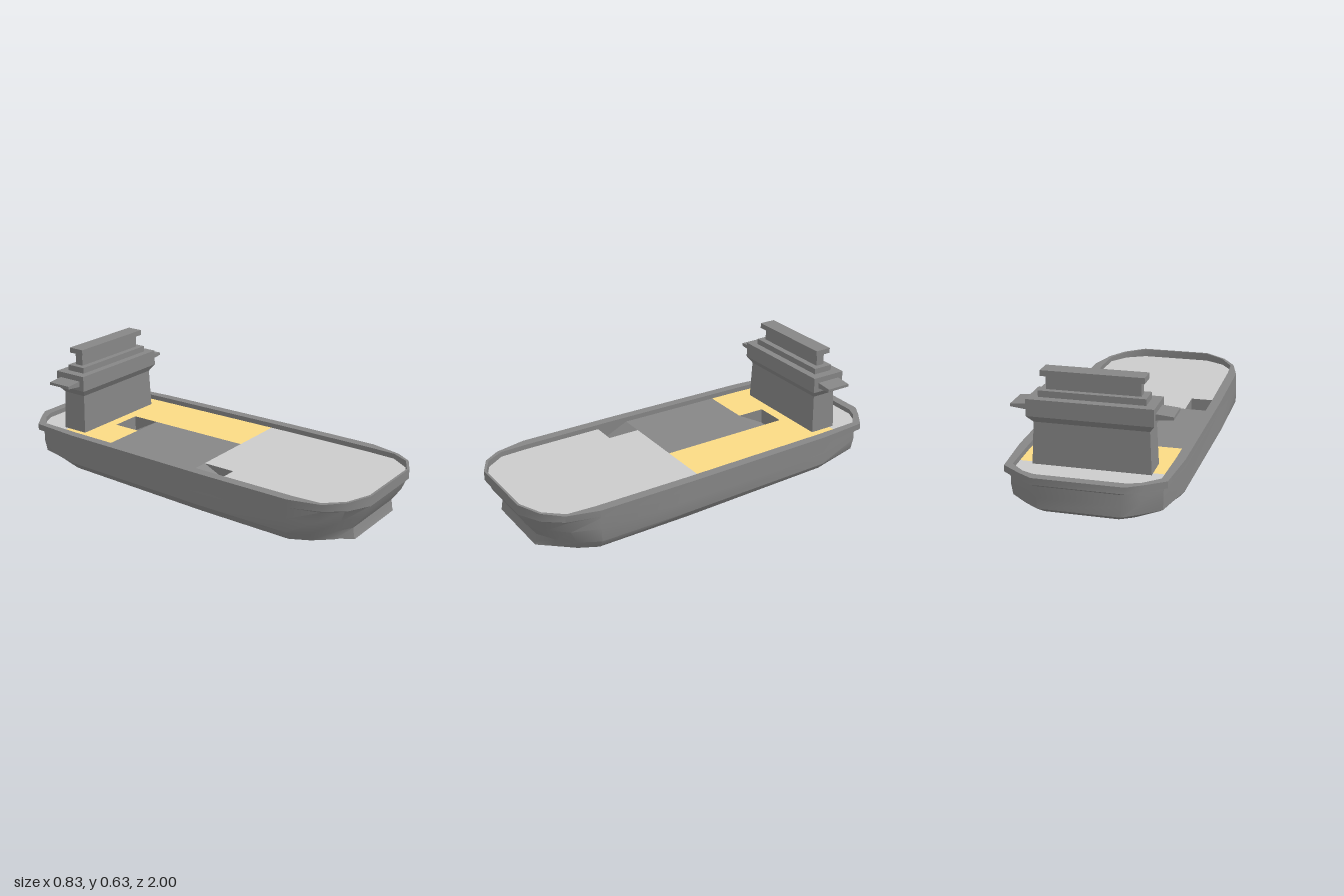
import * as THREE from 'three';
import { toCreasedNormals } from 'three/addons/utils/BufferGeometryUtils.js';

const dark = new THREE.MeshStandardMaterial({ color: 0x868686, side: THREE.DoubleSide });
const light = new THREE.MeshStandardMaterial({ color: 0xcccccc, side: THREE.DoubleSide });
const yellow = new THREE.MeshStandardMaterial({ color: 0xfada84, side: THREE.DoubleSide });

const DECK = 0.195;

// Mirror a half outline [x, y, z] (bow to stern on +x) into a full ring
const mirror = (half) => [...half, ...half.slice().reverse().map(([x, y, z]) => [-x, y, z])];

// Skin a stack of rings from bottom to top, with optional end caps
function loft(rings, capBottom, capTop, crease = 0.6) {
  const n = rings[0].length, index = [];
  for (let r = 0; r < rings.length - 1; r++) {
    for (let i = 0; i < n; i++) {
      const j = (i + 1) % n;
      const a = r * n + i, b = r * n + j, c = b + n, d = a + n;
      index.push(a, b, c, a, c, d);
    }
  }
  const cap = (base, up) => {
    for (let i = 0; i < n / 2 - 1; i++) {
      const a = base + i, b = a + 1, c = base + n - 2 - i, d = c + 1;
      index.push(...(up ? [a, b, c, a, c, d] : [a, c, b, a, d, c]));
    }
  };
  if (capBottom) cap(0, false);
  if (capTop) cap((rings.length - 1) * n, true);
  const g = new THREE.BufferGeometry();
  g.setAttribute('position', new THREE.Float32BufferAttribute(rings.flat(2), 3));
  g.setIndex(index);
  return toCreasedNormals(g, crease);
}

function add(parent, name, geometry, material) {
  const mesh = new THREE.Mesh(geometry, material);
  mesh.name = name;
  parent.add(mesh);
  return mesh;
}

// Flat deck panel from [x, z] corners
function panel(parent, name, corners, material) {
  const shape = new THREE.Shape(corners.map(([x, z]) => new THREE.Vector2(x, -z)));
  const g = new THREE.ShapeGeometry(shape);
  g.rotateX(-Math.PI / 2);
  g.translate(0, DECK, 0);
  add(parent, name, g, material);
}

// Sunken ramp: sloping floor, two triangular sides and an end wall
function ramp(parent, name, x0, x1, zTop, zLow) {
  const y = DECK - 0.08;
  const p = [[x0, DECK, zTop], [x1, DECK, zTop], [x0, y, zLow], [x1, y, zLow], [x0, DECK, zLow], [x1, DECK, zLow]];
  const g = new THREE.BufferGeometry();
  g.setAttribute('position', new THREE.Float32BufferAttribute(p.flat(), 3));
  const tris = [0, 2, 3, 0, 3, 1, 0, 4, 2, 1, 3, 5, 2, 4, 5, 2, 5, 3];
  if (zLow < zTop) tris.reverse();
  g.setIndex(tris);
  add(parent, name, toCreasedNormals(g, 0.1), dark);
}

export function createModel() {
  const ship = new THREE.Group();
  ship.name = 'cargoShip';

  // Plan outlines, bow to stern, on the +x side
  const rim = [[0.19, 0.998], [0.30, 0.94], [0.37, 0.85], [0.41, 0.69], [0.41, 0.2], [0.395, -0.63], [0.372, -0.89], [0.28, -0.957], [0.21, -1]];
  const flare = [[0.19, 0.985], [0.297, 0.925], [0.367, 0.84], ...rim.slice(3, 6), [0.35, -0.87], [0.26, -0.945], [0.19, -0.99]];
  const waist = [[0.19, 0.963], [0.29, 0.905], [0.365, 0.825], [0.413, 0.69], [0.413, 0.2], [0.395, -0.63], [0.35, -0.87], [0.26, -0.945], [0.19, -0.99]];
  const bilge = [[0.19, 0.915], [0.28, 0.865], [0.36, 0.79], [0.413, 0.69], [0.413, 0.2], [0.395, -0.63], [0.345, -0.86], [0.255, -0.94], [0.19, -0.985]];
  const chine = [[0.19, 0.922], [0.27, 0.86], [0.34, 0.78], [0.385, 0.69], [0.385, 0.2], [0.37, -0.62], [0.31, -0.82], [0.23, -0.91], [0.17, -0.945]];
  const keel = [[0.19, 0.926], [0.23, 0.86], [0.27, 0.77], [0.29, 0.69], [0.29, 0.2], [0.28, -0.6], [0.24, -0.78], [0.19, -0.86], [0.15, -0.9]];
  const inner = [[0.185, 0.987], [0.29, 0.93], [0.355, 0.835], [0.362, 0.69], [0.362, 0.2], [0.35, -0.63], [0.34, -0.865], [0.27, -0.93], [0.21, -0.955]];
  const bowRise = [0.018, 0.009, 0.001, 0, 0, 0, 0, 0, 0];
  const sternRise = [0, 0, 0, 0, 0.005, 0.02, 0.025, 0.03, 0.03];
  const level = (outline, y, rise, k = 1) =>
    mirror(outline.map(([x, z], i) => [x, y + (rise ? rise[i] * k : 0), z]));

  // Hull shell with bulwark
  add(ship, 'hull', loft([
    level(keel, 0.002, sternRise),
    level(chine, 0.014, sternRise),
    level(bilge, 0.057, sternRise, 0.5),
    level(waist, 0.125),
    level(flare, 0.18),
    level(rim, 0.188),
    level(rim, 0.22, bowRise),
    level(inner, 0.22, bowRise),
    level(inner, DECK - 0.01),
  ], true, false), dark);

  // Deck panels, notched around the ramps
  const side = 0.365, aft = -0.76, mid = 0.11;
  const fore = inner.slice(0, 4);
  panel(ship, 'foreDeck', [
    ...fore.slice().reverse(), ...fore.map(([x, z]) => [-x, z]),
    [-side, 0.28], [-0.24, 0.28], [-0.24, mid], [side, mid],
  ], light);
  const stern = inner.slice(6);
  panel(ship, 'aftDeck', [
    [0.35, aft], ...stern, ...stern.slice().reverse().map(([x, z]) => [-x, z]), [-0.35, aft],
  ], light);
  panel(ship, 'yellowDeck', [
    [side, mid], [side, -0.63], [0.35, aft], [-0.35, aft], [-side, -0.63], [-side, -0.44],
    [-0.09, -0.44], [-0.09, -0.59], [0.07, -0.59], [0.07, mid],
  ], yellow);
  panel(ship, 'hatchDeck', [[0.07, mid], [0.07, -0.44], [-side, -0.44], [-side, mid]], dark);
  ramp(ship, 'aftRamp', -0.09, 0.07, -0.44, -0.59);
  ramp(ship, 'foreRamp', -0.362, -0.24, mid, 0.28);

  // Bridge tower: stacked rectangles [y, half width, front z, back z]
  const bridge = new THREE.Group();
  bridge.name = 'bridge';
  ship.add(bridge);
  const tower = (name, sections) => add(bridge, name, loft(
    sections.map(([y, x, front, back]) => mirror([[x, y, front], [x, y, back]])), true, true, 0.2), dark);
  tower('deckhouse', [
    [DECK - 0.01, 0.277, -0.645, -0.785],
    [0.395, 0.267, -0.65, -0.78],
    [0.43, 0.292, -0.627, -0.812],
    [0.51, 0.292, -0.627, -0.812],
  ]);
  tower('upperTier', [[0.51, 0.247, -0.665, -0.77], [0.54, 0.247, -0.665, -0.77]]);
  tower('wheelhouseNeck', [[0.54, 0.218, -0.697, -0.742], [0.605, 0.218, -0.697, -0.742]]);
  tower('wheelhouseRoof', [[0.605, 0.238, -0.676, -0.762], [0.632, 0.238, -0.676, -0.762]]);

  // Bridge wings, tapering to the tips
  for (const s of [1, -1]) {
    const profile = [[0.28, 0.45], [0.373, 0.46], [0.373, 0.474], [0.28, 0.482]];
    const shape = new THREE.Shape(profile.map(([x, y]) => new THREE.Vector2(s * x, y)));
    const g = new THREE.ExtrudeGeometry(shape, { depth: 0.13, bevelEnabled: false });
    g.translate(0, 0, -0.785);
    add(bridge, s > 0 ? 'leftWing' : 'rightWing', g, dark);
  }
  return ship;
}
